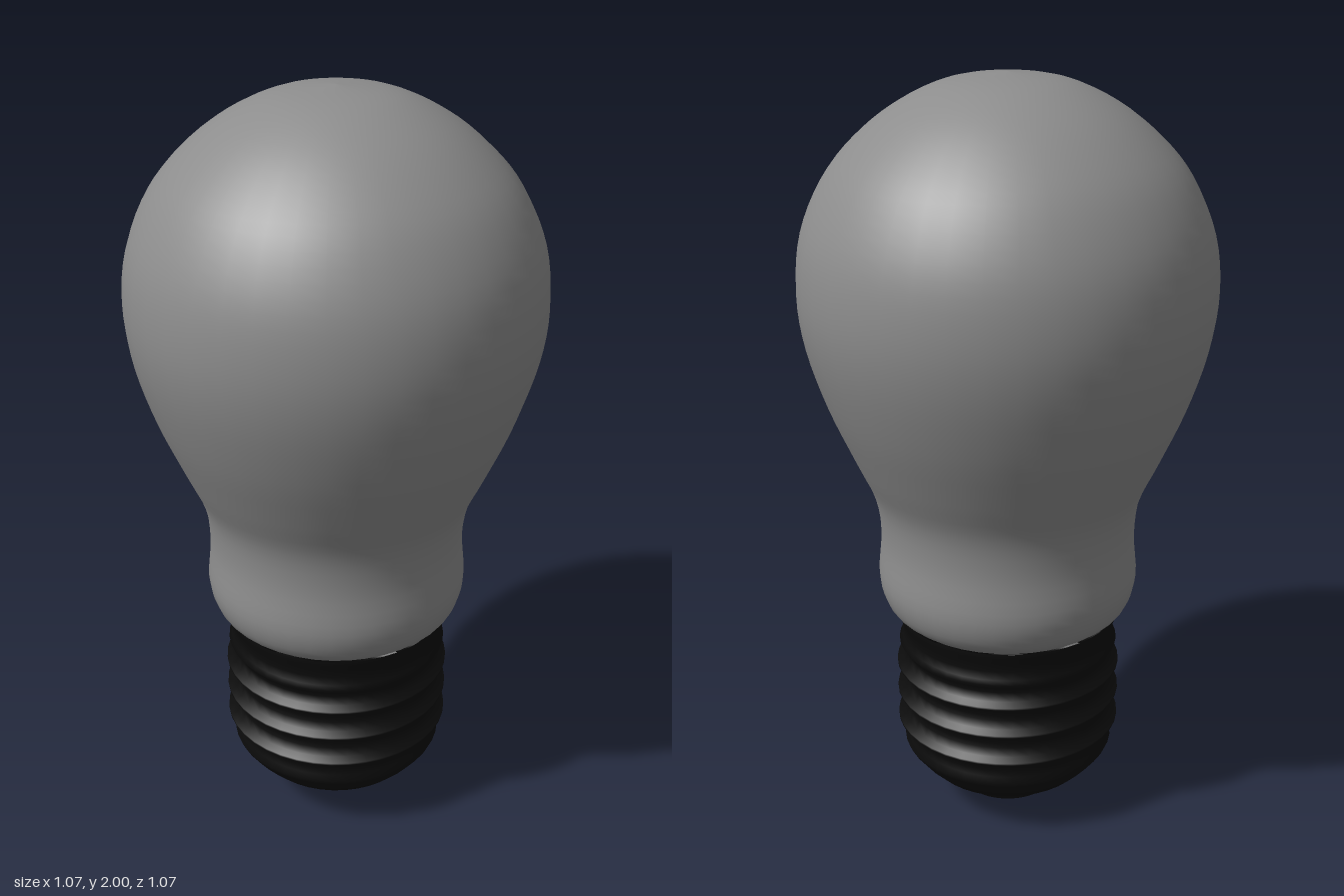
import * as THREE from 'three';

const SEGMENTS = 40;
const glass = new THREE.MeshStandardMaterial({ color: 0x8d8d8d, side: THREE.DoubleSide });
const dark = new THREE.MeshStandardMaterial({ color: 0x0b0b0b, side: THREE.DoubleSide });

const toPoints = (list) => list.map(([r, y]) => new THREE.Vector2(r, y));

// Revolve a profile, listed from bottom to top, around the y axis
function lathe(name, points, material) {
  const mesh = new THREE.Mesh(new THREE.LatheGeometry(points, SEGMENTS), material);
  mesh.name = name;
  return mesh;
}

export function createModel() {
  const group = new THREE.Group();
  group.name = 'lightBulb';

  // Glass envelope: rounded skirt, narrow neck, pear-shaped body
  const outline = new THREE.SplineCurve(toPoints([
    [0.287, 0.57], [0.325, 0.605], [0.346, 0.68], [0.338, 0.8], [0.352, 0.91],
    [0.401, 1.02], [0.466, 1.17], [0.516, 1.33], [0.533, 1.47], [0.517, 1.61],
    [0.462, 1.74], [0.386, 1.835], [0.28, 1.92], [0.15, 1.98], [0, 2],
  ])).getPoints(56);
  outline[outline.length - 1].set(0, 2);
  group.add(lathe('glassBulb', outline, glass));

  // Underside of the glass, meeting the socket
  group.add(lathe('glassUnderside', toPoints([[0, 0.571], [0.288, 0.571]]), glass));

  // Screw cap: insulator, rounded shoulder, thread ridges and collar
  const cap = [
    [0, 0.02], [0.105, 0.02], [0.128, 0.03], [0.138, 0.05], [0.14, 0.066],
    [0.18, 0.073], [0.22, 0.098], [0.252, 0.13], [0.28, 0.165], [0.287, 0.18],
    [0.278, 0.195],
  ];
  for (const y of [0.25, 0.333, 0.416]) {
    cap.push([0.278, y - 0.035], [0.284, y - 0.015], [0.304, y - 0.003],
      [0.304, y + 0.003], [0.286, y + 0.012], [0.278, y + 0.035]);
  }
  cap.push([0.287, 0.468], [0.297, 0.482], [0.288, 0.492], [0.284, 0.515],
    [0.288, 0.54], [0.297, 0.56], [0.297, 0.572]);
  group.add(lathe('screwCap', toPoints(cap), dark));

  // Bottom contact: a thin, slightly oval rim around a recessed face
  const rim = lathe('contactRim', toPoints([
    [0.085, 0.018], [0.085, 0], [0.09, 0], [0.09, 0.022],
  ]), glass);
  const face = lathe('contactFace', toPoints([[0, 0.008], [0.086, 0.008]]), dark);
  for (const part of [rim, face]) {
    part.scale.z = 0.85;
    group.add(part);
  }

  return group;
}
